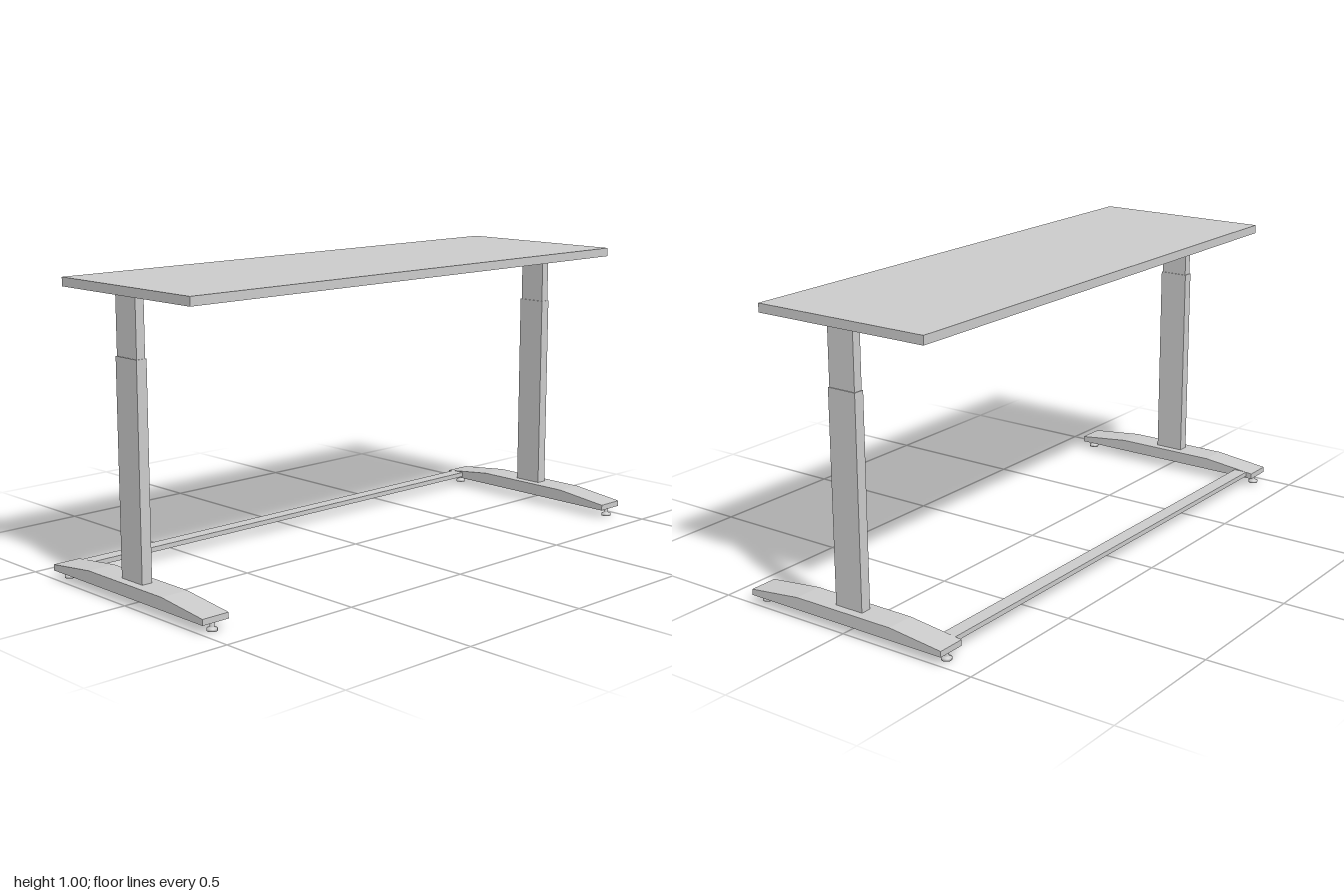
import * as THREE from 'three';

const grey = new THREE.MeshStandardMaterial({ color: 0xcccccc });

function addMesh(parent, name, geometry, x = 0, y = 0, z = 0) {
  const mesh = new THREE.Mesh(geometry, grey);
  mesh.name = name;
  mesh.position.set(x, y, z);
  parent.add(mesh);
  return mesh;
}

// Box given by its size and the height of its underside
function addBox(parent, name, w, h, d, x, bottom, z) {
  return addMesh(parent, name, new THREE.BoxGeometry(w, h, d), x, bottom + h / 2, z);
}

// Foot: side outline in z and y, extruded across its width
function footGeometry(width) {
  const outline = new THREE.Shape([
    [-0.388, 0.03], [0.388, 0.03], [0.388, 0.05],
    [0.19, 0.072], [-0.19, 0.072], [-0.388, 0.05],
  ].map(([z, y]) => new THREE.Vector2(z, y)));
  const geometry = new THREE.ExtrudeGeometry(outline, { depth: width, bevelEnabled: false });
  geometry.translate(0, 0, -width / 2);
  geometry.rotateY(-Math.PI / 2);
  return geometry;
}

// Levelling glide: disc, short cone and stem
function glideGeometry() {
  const profile = [[0, 0.003], [0.017, 0.003], [0.017, 0.008], [0.009, 0.011], [0.007, 0.014], [0.007, 0.031], [0, 0.031]];
  profile[0][1] = profile[1][1] = 0;
  const geometry = new THREE.LatheGeometry(profile.map(([r, y]) => new THREE.Vector2(r, y)), 20);
  return geometry;
}

export function createModel() {
  const desk = new THREE.Group();
  desk.name = 'desk';

  addBox(desk, 'tabletop', 1.946, 0.03, 0.648, 0, 0.97, 0);

  // Telescopic leg, foot and glides on each side
  for (const side of [-1, 1]) {
    const frame = new THREE.Group();
    frame.name = side > 0 ? 'leftLegFrame' : 'rightLegFrame';
    frame.position.x = side * 0.95;
    desk.add(frame);
    addBox(frame, 'lowerLeg', 0.038, 0.708, 0.106, 0, 0.072, 0);
    addBox(frame, 'upperLeg', 0.032, 0.19, 0.1, 0, 0.78, 0);
    addMesh(frame, 'foot', footGeometry(0.1));
    for (const end of [-1, 1]) addMesh(frame, 'glide', glideGeometry(), 0, 0, end * 0.37);
  }

  // Rear bar joining the feet
  addBox(desk, 'crossbar', 1.8, 0.017, 0.05, 0, 0.036, -0.34);

  return desk;
}
